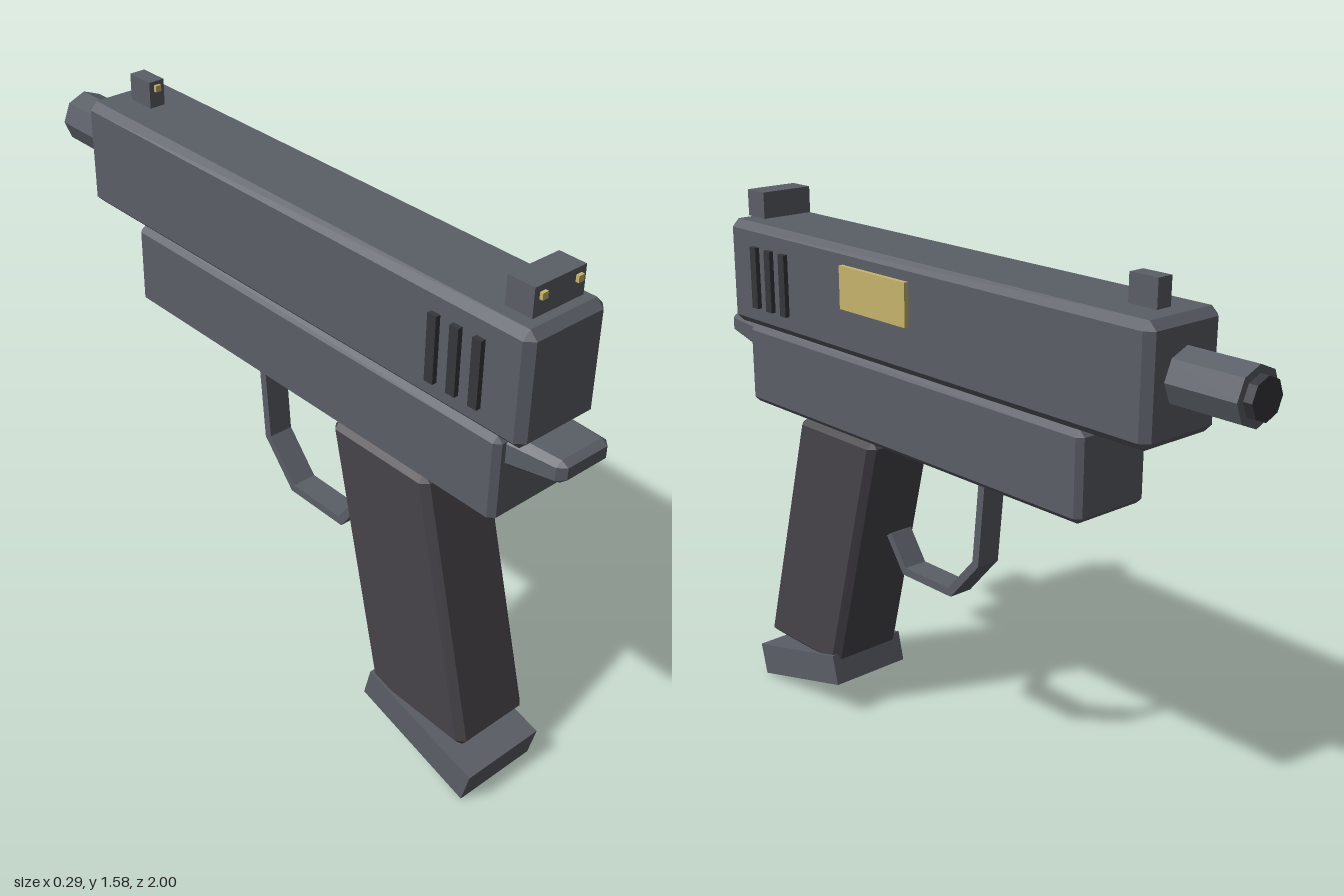
import * as THREE from 'three';
import { ConvexGeometry } from 'three/addons/geometries/ConvexGeometry.js';

const CX = -0.002; // centre plane of the body

function material(name, color) {
  const m = new THREE.MeshStandardMaterial({ color });
  m.name = name;
  return m;
}

// Box with chamfered edges; warp(point) may shear or taper it
function chamferBox(x0, x1, y0, y1, z0, z1, c, warp) {
  const pts = [];
  const h = [(x1 - x0) / 2, (y1 - y0) / 2, (z1 - z0) / 2];
  const mid = [(x0 + x1) / 2, (y0 + y1) / 2, (z0 + z1) / 2];
  for (const sx of [-1, 1]) for (const sy of [-1, 1]) for (const sz of [-1, 1]) {
    for (let k = 0; k < 3; k++) {
      const s = [sx, sy, sz];
      const p = s.map((v, i) => mid[i] + v * (h[i] - (i === k ? 0 : c)));
      const v = new THREE.Vector3(...p);
      if (warp) warp(v);
      pts.push(v);
    }
  }
  return new ConvexGeometry(pts);
}

// Plain box from its limits
function box(x0, x1, y0, y1, z0, z1) {
  const g = new THREE.BoxGeometry(x1 - x0, y1 - y0, z1 - z0);
  return g.translate((x0 + x1) / 2, (y0 + y1) / 2, (z0 + z1) / 2);
}

// Side profile of [z, y] points, extruded across x
function sideProfile(points, width) {
  const shape = new THREE.Shape(points.map(([z, y]) => new THREE.Vector2(z, y)));
  const g = new THREE.ExtrudeGeometry(shape, { depth: width, bevelEnabled: false });
  return g.translate(0, 0, -width / 2).rotateY(-Math.PI / 2).translate(CX, 0, 0);
}

// Closed outline of a strip of constant thickness along a [z, y] path
function stripOutline(path, t) {
  const p = path.map(([z, y]) => new THREE.Vector2(z, y));
  const normal = (a, b) => {
    const d = b.clone().sub(a).normalize();
    return new THREE.Vector2(-d.y, d.x);
  };
  const left = [], right = [];
  p.forEach((q, i) => {
    const n0 = normal(p[Math.max(i - 1, 0)], p[Math.max(i, 1)]);
    const last = p.length - 1;
    const n1 = normal(p[Math.min(i, last - 1)], p[Math.min(i + 1, last)]);
    const m = n0.clone().add(n1).normalize();
    m.multiplyScalar(t / 2 / m.dot(n0));
    left.push([q.x + m.x, q.y + m.y]);
    right.unshift([q.x - m.x, q.y - m.y]);
  });
  return [...left, ...right];
}

export function createModel() {
  const group = new THREE.Group();
  const steel = material('steel', 0x5a5e66);
  const gripMat = material('grip', 0x464348);
  const dark = material('dark', 0x36373c);
  const gold = material('gold', 0xc8b46c);

  const add = (name, geometry, mat) => {
    const mesh = new THREE.Mesh(geometry, mat);
    mesh.name = name;
    group.add(mesh);
    return mesh;
  };

  // Main body
  add('slide', chamferBox(CX - 0.13, CX + 0.13, 1.18, 1.49, -0.765, 0.91, 0.022), steel);
  add('frame', chamferBox(CX - 0.124, CX + 0.124, 0.937, 1.18, -0.555, 0.84, 0.016), steel);

  // Rear tang, narrowing backwards
  add('tang', chamferBox(CX - 0.096, CX + 0.096, 1.083, 1.178, 0.8, 1.0, 0.02, (v) => {
    const t = THREE.MathUtils.clamp((v.z - 0.84) / 0.16, 0, 1);
    v.x = CX + (v.x - CX) * (1 - 0.13 * t);
    v.y = 1.178 + (v.y - 1.178) * (1 - 0.4 * t);
  }), steel);

  // Raked grip, a little wider at the foot
  add('grip', chamferBox(CX - 0.117, CX + 0.117, 0.16, 0.937, 0.26, 0.608, 0.02, (v) => {
    const t = (0.937 - v.y) / 0.777;
    v.x = CX + (v.x - CX) * (1 + 0.06 * t);
    v.z += 0.203 * t;
  }), gripMat);
  add('magazineBase', sideProfile(
    [[0.852, 0.098], [0.828, 0.0], [0.44, 0.108], [0.462, 0.2]], 0.263), steel);

  // Guard strip bent in straight runs
  add('triggerGuard', sideProfile(stripOutline(
    [[-0.116, 0.95], [-0.087, 0.66], [0.022, 0.538], [0.222, 0.538], [0.29, 0.635]],
    0.024), 0.075), steel);

  // Octagonal barrel and darker muzzle
  const tube = (r, z0, z1) => new THREE.CylinderGeometry(r, r, z1 - z0, 8)
    .rotateX(Math.PI / 2).toNonIndexed().translate(CX - 0.002, 1.342, (z0 + z1) / 2);
  const octagon = (r, z0, z1) => {
    const g = tube(r, z0, z1);
    g.computeVertexNormals();
    return g;
  };
  add('barrel', octagon(0.076, -0.975, -0.74), steel);
  add('muzzle', octagon(0.055, -1.0, -0.95), dark);

  // Sights with gold dots
  add('rearSight', box(-0.086, 0.08, 1.498, 1.575, 0.79, 0.87), steel);
  add('frontSight', box(-0.027, 0.021, 1.485, 1.565, -0.69, -0.6), steel);
  for (const x of [-0.06, 0.056]) {
    add('rearSightDot', box(x - 0.009, x + 0.009, 1.541, 1.559, 0.87, 0.879), gold);
  }
  add('frontSightDot', box(-0.012, 0.006, 1.536, 1.554, -0.6, -0.591), gold);

  // Grip ribs on both sides of the slide
  for (const side of [-1, 1]) {
    for (const z of [0.63, 0.7, 0.77]) {
      const x = CX + side * 0.135;
      add('slideRib', box(x - 0.009, x + 0.009, 1.243, 1.425, z - 0.014, z + 0.014), dark);
    }
  }

  // Gold plate on the left side
  add('sidePlate', box(0.125, 0.142, 1.318, 1.44, 0.075, 0.355), gold);

  return group;
}
